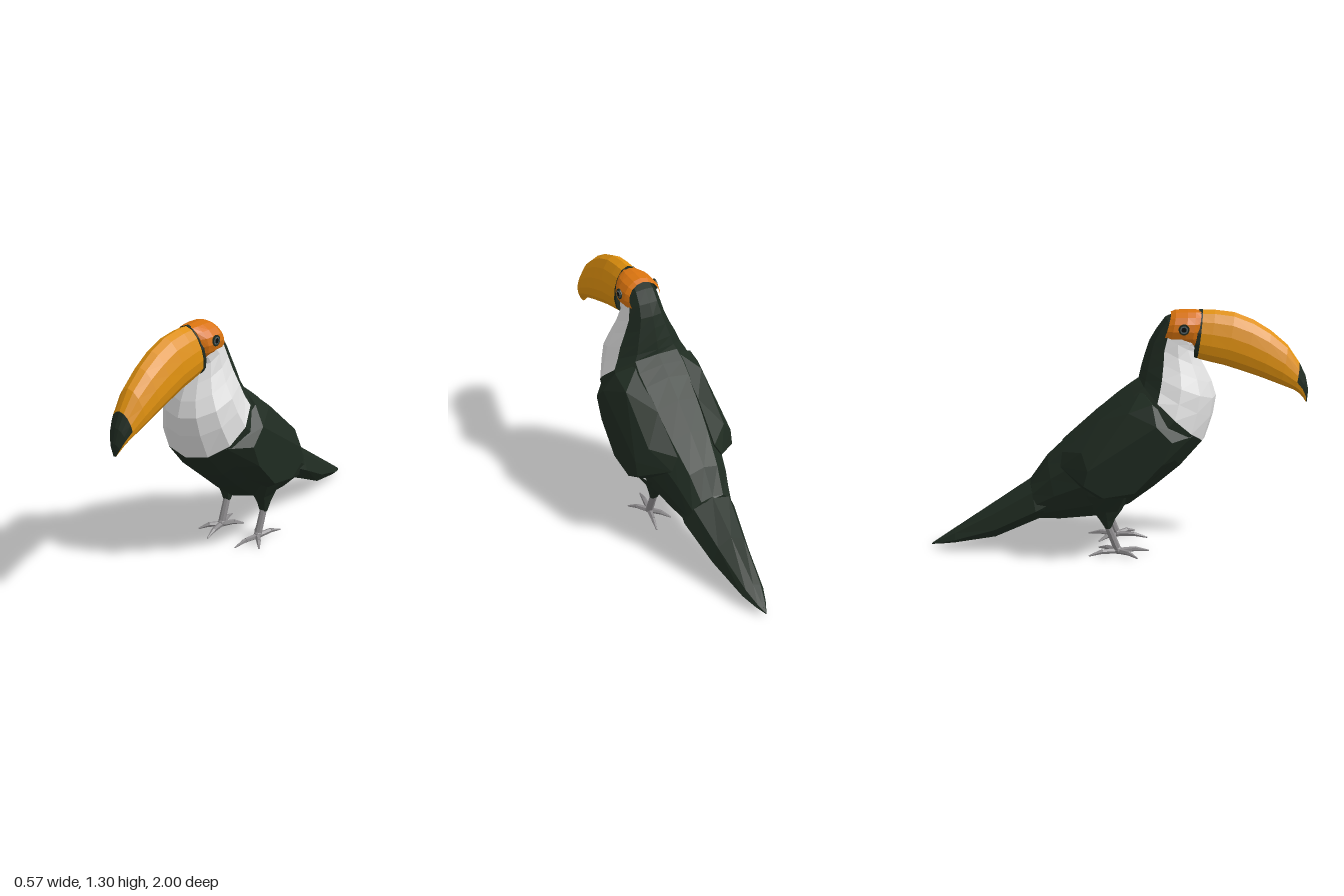
import * as THREE from 'three';
import { ConvexGeometry } from 'three/addons/geometries/ConvexGeometry.js';

const mat = (name, color) => {
  const m = new THREE.MeshStandardMaterial({ color, flatShading: true });
  m.name = name;
  return m;
};

// Skin over rings. Each ring: [top z, top y, bottom z, bottom y, half width, centre x = 0].
// Rings run tail to head; j0..j1 picks the sides to build, counted from the top.
// sag above 1 lowers the widest point and sharpens the top into a ridge.
function loft(rings, sides = 12, { j0 = 0, j1 = sides, sag = 1 } = {}) {
  const pos = [];
  const point = ([tz, ty, bz, by, w, cx = 0], j) => {
    const t = (j / sides) * Math.PI * 2, k = ((1 + Math.cos(t)) / 2) ** sag;
    return [cx + w * Math.sin(t), by + (ty - by) * k, bz + (tz - bz) * k];
  };
  for (let i = 0; i < rings.length - 1; i++) {
    for (let j = j0; j < j1; j++) {
      const a = point(rings[i], j), b = point(rings[i], j + 1);
      const c = point(rings[i + 1], j), d = point(rings[i + 1], j + 1);
      pos.push(...a, ...c, ...b, ...b, ...c, ...d);
    }
  }
  const g = new THREE.BufferGeometry();
  g.setAttribute('position', new THREE.Float32BufferAttribute(pos, 3));
  g.computeVertexNormals();
  return g;
}

// Tapered bone between two points
function bone(a, b, ra, rb, sides = 8) {
  const p = new THREE.Vector3(...a), q = new THREE.Vector3(...b);
  const dir = q.clone().sub(p);
  const g = new THREE.CylinderGeometry(rb, ra, dir.length(), sides);
  g.applyQuaternion(new THREE.Quaternion().setFromUnitVectors(new THREE.Vector3(0, 1, 0), dir.normalize()));
  return g.translate(...p.add(q).multiplyScalar(0.5).toArray());
}

export function createModel() {
  const plumage = mat('dark plumage', 0x1f2b21);
  const white = mat('white bib', 0xdedede);
  const orange = mat('orange face', 0xd9730f);
  const yellow = mat('amber beak', 0xdf900e);
  const grey = mat('grey legs', 0x8c8a8c);
  const iris = mat('slate iris', 0x56666c);
  const black = mat('black pupil', 0x0c0f0d);

  const model = new THREE.Group();
  const add = (name, geometry, material, parent = model) => {
    const m = new THREE.Mesh(geometry, material);
    m.name = name;
    parent.add(m);
  };

  // Tail: ridged on top, nearly flat below
  add('tail', loft([
    [-1, 0.02, -1, 0.015, 0],
    [-0.95, 0.055, -0.95, 0.024, 0.03],
    [-0.87, 0.11, -0.87, 0.038, 0.062],
    [-0.65, 0.26, -0.65, 0.08, 0.108],
    [-0.46, 0.39, -0.42, 0.19, 0.15],
    [-0.34, 0.47, -0.3, 0.24, 0.13],
  ], 8, { sag: 1.7 }), plumage);

  // Body, from rump to the base of the neck
  const neckBase = [0.11, 0.94, 0.46, 0.61, 0.247];
  add('body', loft([
    [-0.47, 0.38, -0.42, 0.17, 0],
    [-0.46, 0.39, -0.42, 0.17, 0.13],
    [-0.37, 0.52, -0.3, 0.165, 0.165],
    [-0.23, 0.655, -0.11, 0.18, 0.21],
    [-0.1, 0.775, 0.07, 0.25, 0.24],
    [0.0, 0.86, 0.2, 0.35, 0.255],
    [0.06, 0.905, 0.34, 0.47, 0.26],
    neckBase,
  ]), plumage);

  // Neck: dark nape behind, white bib in front
  const neck = [
    neckBase,
    [0.115, 0.965, 0.5, 0.74, 0.215],
    [0.125, 1.01, 0.515, 0.84, 0.19],
    [0.145, 1.08, 0.49, 0.92, 0.15],
    [0.165, 1.14, 0.45, 1.0, 0.12],
    [0.2, 1.2, 0.41, 1.075, 0.103],
    [0.245, 1.262, 0.41, 1.085, 0.097],
    [0.3, 1.288, 0.405, 1.09, 0.09],
    [0.4, 1.285, 0.395, 1.09, 0.07],
  ];
  add('bib', loft(neck, 12, { j0: 2, j1: 10 }), white);
  add('nape', loft(neck, 12, { j0: -2, j1: 2 }), plumage);

  // Face shell, closed toward the beak
  add('face', loft([
    [0.275, 1.285, 0.225, 1.12, 0.09],
    [0.3, 1.296, 0.26, 1.11, 0.104],
    [0.36, 1.299, 0.335, 1.105, 0.108],
    [0.4, 1.298, 0.375, 1.1, 0.1],
    [0.43, 1.296, 0.4, 1.1, 0.08],
    [0.43, 1.28, 0.4, 1.11, 0],
  ], 16), orange);

  // Beak with dark rim; the tip is dark above and amber below
  const sag = 1.5;
  add('beakRim', loft([
    [0.418, 1.25, 0.385, 1.07, 0.04],
    [0.42, 1.3, 0.388, 1.046, 0.093],
    [0.438, 1.3, 0.406, 1.044, 0.094],
    [0.438, 1.28, 0.406, 1.06, 0.07],
  ], 16, { sag }), plumage);
  const tipStart = [0.945, 1.015, 0.92, 0.872, 0.064];
  add('beak', loft([
    [0.42, 1.297, 0.395, 1.05, 0.09],
    [0.5, 1.296, 0.46, 1.032, 0.092],
    [0.6, 1.283, 0.55, 1.01, 0.093],
    [0.7, 1.243, 0.65, 0.977, 0.092],
    [0.79, 1.187, 0.745, 0.943, 0.088],
    [0.88, 1.11, 0.84, 0.905, 0.079],
    tipStart,
  ], 16, { sag }), yellow);
  const tip = [
    tipStart,
    [0.98, 0.945, 0.95, 0.85, 0.048],
    [0.997, 0.87, 0.973, 0.824, 0.028],
    [0.993, 0.803, 0.985, 0.803, 0.008],
    [0.99, 0.802, 0.988, 0.802, 0],
  ];
  add('beakTipUpper', loft(tip, 16, { j0: -4, j1: 4, sag }), plumage);
  add('beakTipLower', loft(tip, 16, { j0: 4, j1: 12, sag }), yellow);

  for (const s of [1, -1]) {
    const side = s > 0 ? 'left' : 'right';

    // Eye: stacked thin discs
    [[0.028, plumage, 'EyeRing'], [0.02, iris, 'Iris'], [0.013, black, 'Pupil']].forEach(([r, m, n], i) => {
      const disc = new THREE.CylinderGeometry(r, r, 0.007, 16).rotateZ(Math.PI / 2);
      add(side + n, disc.translate(s * (0.1045 + i * 0.0015), 1.215, 0.335), m);
    });

    // Folded wing: flat outer face blending into back, shoulder and flank; points are [x, y, z]
    const outer = [[0.67, 0.27], [0.755, 0.19], [0.52, -0.16], [0.44, -0.18], [0.375, -0.08], [0.4, 0.08], [0.55, 0.22]];
    const inner = [[0.67, 0.34], [0.855, 0.17], [0.81, 0.05], [0.6, -0.19], [0.42, -0.2], [0.35, -0.1], [0.355, 0.06]];
    const flank = [
      [0.2, 0.677, 0.38], [0.2, 0.545, 0.285], [0.18, 0.425, 0.168], [0.16, 0.36, -0.06],
      [0.12, 0.905, 0.12], [0.12, 0.74, -0.1], [0.11, 0.57, -0.29], [0.15, 0.5, -0.3],
    ];
    const wingPoints = [...outer.map((p) => [0.287, ...p]), ...inner.map((p) => [0.225, ...p]), ...flank];
    add(side + 'Wing', new ConvexGeometry(wingPoints.map(([x, y, z]) => new THREE.Vector3(s * x, y, z))), plumage);

    // Leg: feathered thigh, shank and four toes
    const leg = new THREE.Group();
    leg.name = side + 'Leg';
    model.add(leg);
    const x = s * 0.122;
    add('thigh', loft([
      [-0.07, 0.15, -0.035, 0.15, 0.024, x],
      [-0.1, 0.2, -0.015, 0.2, 0.035, x],
      [-0.15, 0.26, 0.02, 0.25, 0.052, x],
      [-0.2, 0.36, 0.07, 0.35, 0.105, s * 0.132],
    ], 8), plumage, leg);
    add('shank', bone([x, 0.02, 0], [x, 0.17, -0.058], 0.02, 0.019), grey, leg);
    add('ankle', new THREE.SphereGeometry(0.023, 8, 6).translate(x, 0.023, 0), grey, leg);
    for (const [dx, dz] of [[0.08, 0.1], [-0.03, 0.165], [0.04, -0.155], [-0.08, -0.1]]) {
      const knuckle = [x + s * dx * 0.55, 0.021, dz * 0.55];
      add('toe', bone([x, 0.017, 0], knuckle, 0.016, 0.013, 6), grey, leg);
      add('claw', bone(knuckle, [x + s * dx, 0.005, dz], 0.013, 0.004, 6), grey, leg);
    }
  }
  return model;
}
